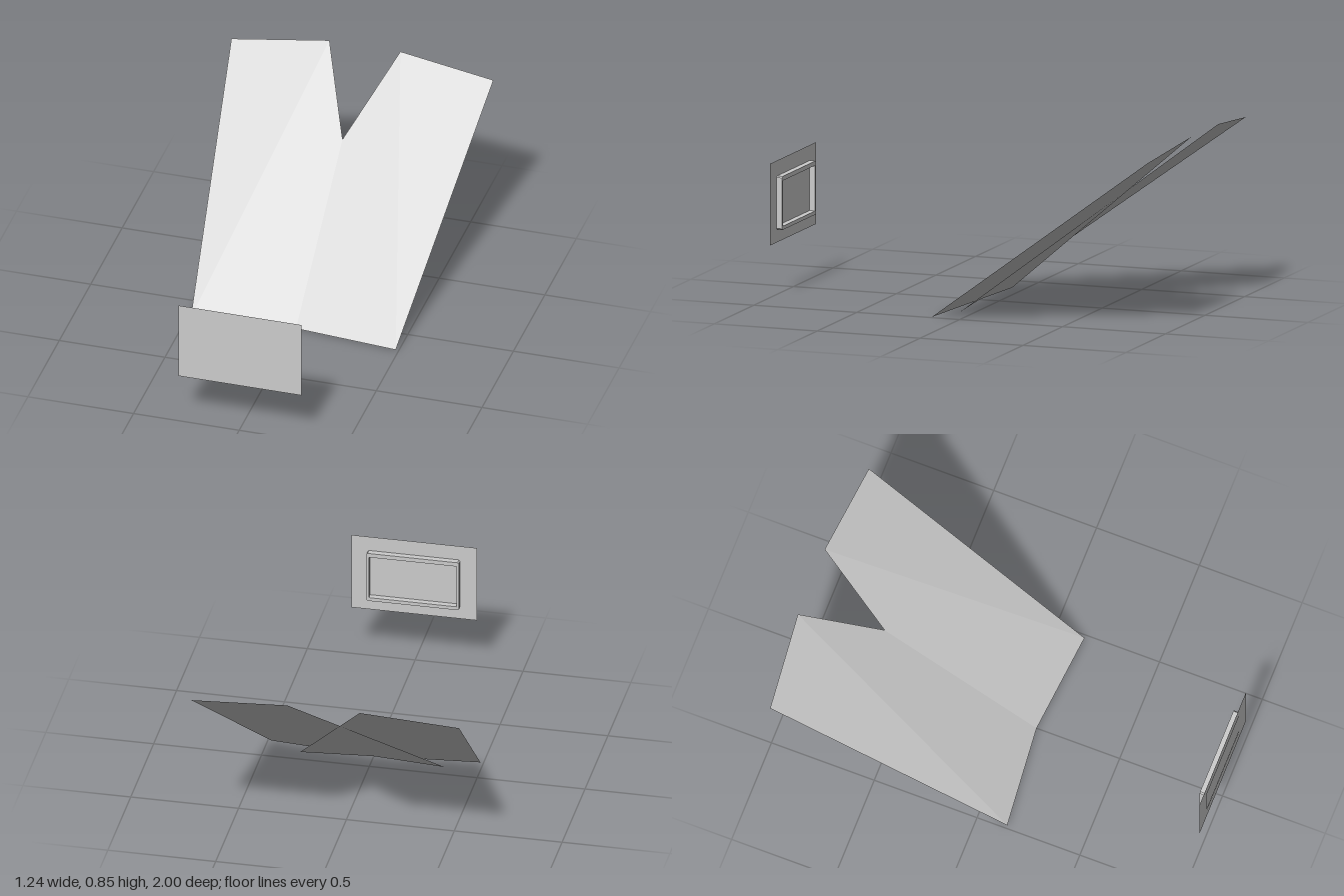
import * as THREE from 'three';

const grey = new THREE.MeshStandardMaterial({ color: 0xcccccc, flatShading: true, side: THREE.DoubleSide });

function add(group, name, geometry, z = 0) {
  const mesh = new THREE.Mesh(geometry, grey);
  mesh.name = name;
  mesh.position.z = z;
  group.add(mesh);
}

// Rectangle outline with corners cut by c
function outline(Type, x0, x1, y0, y1, c = 0) {
  const pts = c
    ? [[x0 + c, y0], [x1 - c, y0], [x1, y0 + c], [x1, y1 - c], [x1 - c, y1], [x0 + c, y1], [x0, y1 - c], [x0, y0 + c]]
    : [[x0, y0], [x1, y0], [x1, y1], [x0, y1]];
  return new Type(pts.map(([x, y]) => new THREE.Vector2(x, y)));
}

// Thin sloping sheet; side = 1 for left, -1 for right
function sheet(side) {
  const corners = [[0.168, 0.853, -1], [-0.334, 0, 0.065], [0.485, 0, 0.141], [0.62, 0.805, -0.96]];
  const g = new THREE.BufferGeometry();
  g.setAttribute('position', new THREE.Float32BufferAttribute(
    corners.flatMap(([x, y, z]) => [x * side, y, z]), 3));
  g.setIndex(side > 0 ? [0, 1, 2, 0, 2, 3] : [0, 2, 1, 0, 3, 2]);
  g.computeVertexNormals();
  return g;
}

export function createModel() {
  const model = new THREE.Group();
  model.name = 'model';

  // Two crossing sheets that lean backwards
  add(model, 'leftSheet', sheet(1));
  add(model, 'rightSheet', sheet(-1));

  // Upright front plate with an inset panel and a raised rim on its back
  const plate = new THREE.Group();
  plate.name = 'frontPlate';
  const inner = [-0.197, 0.208, 0.317, 0.527];
  const border = outline(THREE.Shape, -0.287, 0.294, 0.24, 0.617);
  border.holes.push(outline(THREE.Path, ...inner));
  add(plate, 'plateBorder', new THREE.ShapeGeometry(border), 1);
  add(plate, 'platePanel', new THREE.ShapeGeometry(outline(THREE.Shape, ...inner)), 0.999);

  const rim = outline(THREE.Shape, -0.209, 0.22, 0.3, 0.547, 0.006);
  rim.holes.push(outline(THREE.Path, ...inner));
  add(plate, 'backRim', new THREE.ExtrudeGeometry(rim, { depth: 0.028, bevelEnabled: false }), 0.97);
  model.add(plate);
  return model;
}
